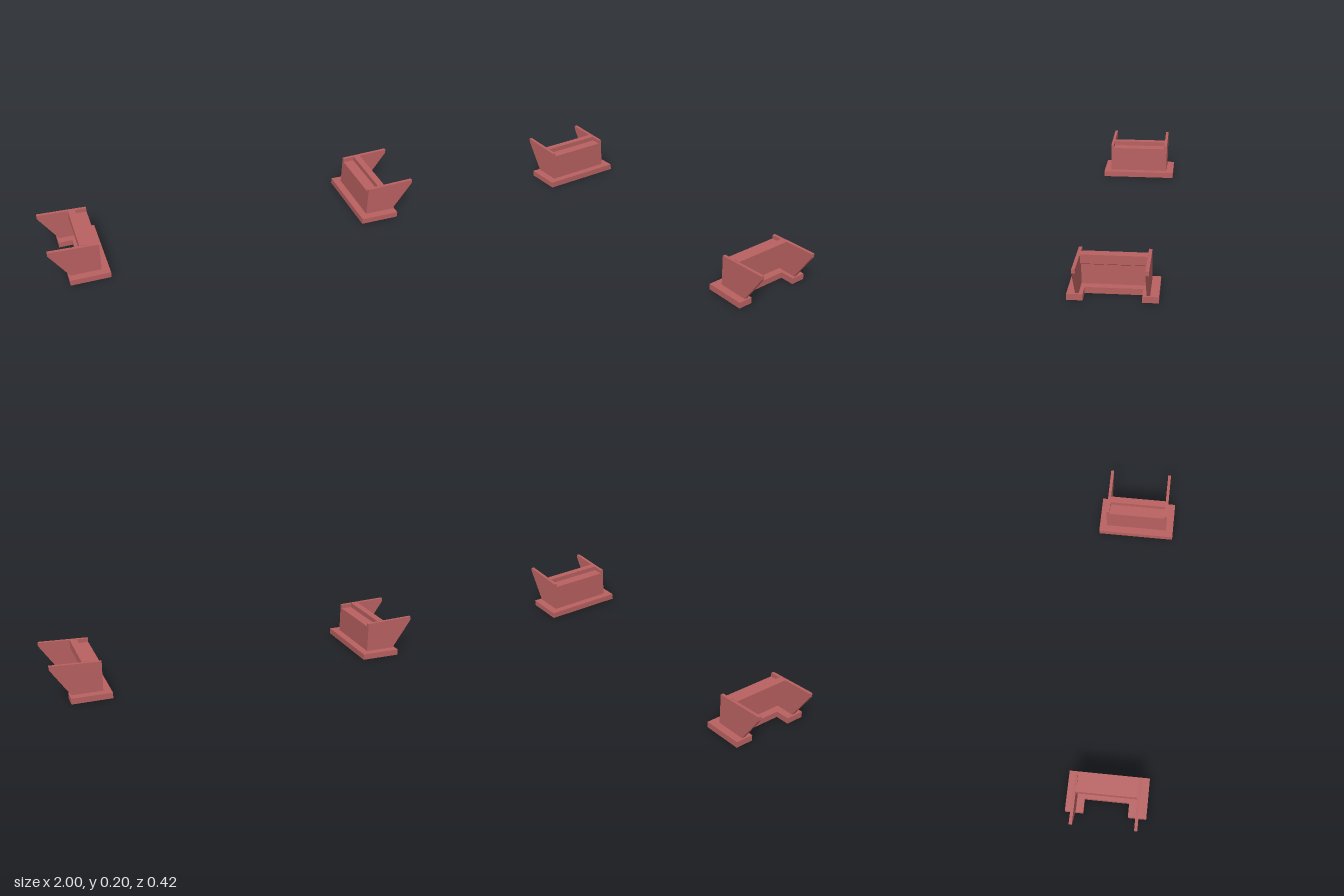
import * as THREE from 'three';

const material = new THREE.MeshStandardMaterial({ color: 0xb86060, flatShading: true });

// Extrude an outline of [a, b] points by depth, centred on its depth axis
function prism(name, points, depth) {
  const shape = new THREE.Shape(points.map(([a, b]) => new THREE.Vector2(a, b)));
  const geometry = new THREE.ExtrudeGeometry(shape, { depth, bevelEnabled: false });
  geometry.translate(0, 0, -depth / 2);
  const mesh = new THREE.Mesh(geometry, material);
  mesh.name = name;
  return mesh;
}

// One bracket on the +x side, opening outwards
function createBracket(name, notch) {
  const bracket = new THREE.Group();
  bracket.name = name;

  // U-shaped foot plate, lying flat
  const base = prism('basePlate', [
    [0.70, -0.21], [0.91, -0.21], [0.91, -notch], [0.837, -notch],
    [0.837, notch], [0.91, notch], [0.91, 0.21], [0.70, 0.21],
  ], 0.031);
  base.rotation.x = -Math.PI / 2;
  base.position.y = 0.0155;
  bracket.add(base);

  // Upright wall with a raised lip that overhangs on the outer side
  bracket.add(prism('wallWithLip', [
    [0.74, 0.031], [0.80, 0.031], [0.80, 0.13], [0.837, 0.15],
    [0.837, 0.195], [0.80, 0.195], [0.80, 0.17], [0.74, 0.17],
  ], 0.31));

  // Flared cheek plates at both ends of the wall
  for (const side of [1, -1]) {
    const cheek = prism(side > 0 ? 'frontCheek' : 'backCheek', [
      [0.74, 0.031], [0.90, 0.031], [1.0, 0.18], [1.0, 0.20], [0.74, 0.19],
    ], 0.016);
    cheek.position.z = side * 0.162;
    bracket.add(cheek);
  }
  return bracket;
}

export function createModel() {
  const model = new THREE.Group();
  model.name = 'bracketPair';
  model.add(createBracket('leftBracket', 0.135));
  const right = createBracket('rightBracket', 0.115);
  right.rotation.y = Math.PI;
  model.add(right);
  return model;
}
